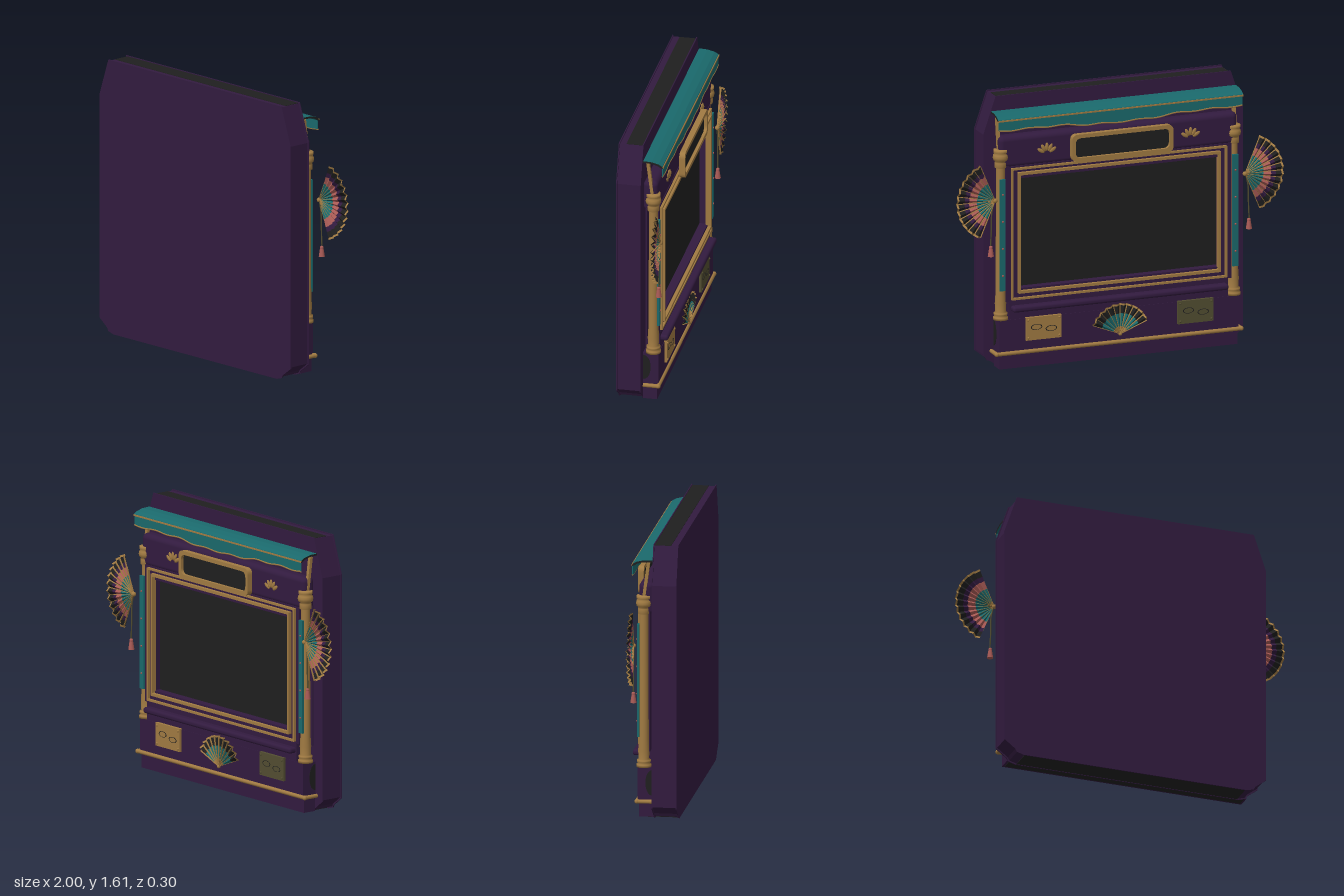
import * as THREE from 'three';
import { RoundedBoxGeometry } from 'three/addons/geometries/RoundedBoxGeometry.js';

const mat = (name, color, side = THREE.FrontSide) => {
  const m = new THREE.MeshStandardMaterial({ color, side });
  m.name = name;
  return m;
};

export function createModel() {
  const purple = mat('plum lacquer', 0x321b3f, THREE.DoubleSide);
  const dark = mat('black', 0x1f1f1f, THREE.DoubleSide);
  const gold = mat('old gold', 0xa07a42, THREE.DoubleSide);
  const bronze = mat('dull bronze', 0x524d31);
  const teal = mat('teal', 0x1a696c, THREE.DoubleSide);
  const pink = mat('coral pink', 0xa85a55, THREE.DoubleSide);

  const model = new THREE.Group();
  model.name = 'ornateCabinet';
  // The decorated side faces -z, so it is built facing +z in a turned group
  const face = new THREE.Group();
  face.name = 'decoratedFace';
  face.rotation.y = Math.PI;
  model.add(face);

  const add = (parent, name, geo, m, x = 0, y = 0, z = 0) => {
    const mesh = new THREE.Mesh(geo, m);
    mesh.name = name;
    mesh.position.set(x, y, z);
    parent.add(mesh);
    return mesh;
  };
  // Box given by its limits
  const box = (parent, name, m, x0, x1, y0, y1, z0, z1) =>
    add(parent, name, new THREE.BoxGeometry(x1 - x0, y1 - y0, z1 - z0), m, (x0 + x1) / 2, (y0 + y1) / 2, (z0 + z1) / 2);
  const poly = pts => new THREE.Shape(pts.map(p => new THREE.Vector2(...p)));
  const extrude = (shape, depth) => new THREE.ExtrudeGeometry(shape, { depth, bevelEnabled: false, curveSegments: 10 });
  const roundRect = (w, h, r, C = THREE.Shape) => {
    const s = new C(), x = w / 2, y = h / 2;
    s.moveTo(-x + r, -y).lineTo(x - r, -y).quadraticCurveTo(x, -y, x, -y + r);
    s.lineTo(x, y - r).quadraticCurveTo(x, y, x - r, y).lineTo(-x + r, y);
    s.quadraticCurveTo(-x, y, -x, y - r).lineTo(-x, -y + r).quadraticCurveTo(-x, -y, -x + r, -y);
    return s;
  };
  const frame = (w, h, t, r, depth) => {
    const s = roundRect(w, h, r);
    s.holes.push(roundRect(w - 2 * t, h - 2 * t, r, THREE.Path));
    return extrude(s, depth);
  };

  // Large slab: two sheets around a slightly smaller core
  const half = [[0.68, 0], [0.72, 0.012], [0.73, 0.03], [0.795, 0.08], [0.795, 1.39], [0.72, 1.61]];
  const outline = k => poly([...half, ...half.map(([x, y]) => [-x, y]).reverse()]
    .map(([x, y]) => [x * k, 0.805 + (y - 0.805) * k]));
  add(model, 'slabFrontSheet', extrude(outline(1), 0.006), purple, 0, 0, 0.142);
  add(model, 'slabBackSheet', extrude(outline(1), 0.006), purple, 0, 0, 0.004);
  add(model, 'slabCore', extrude(outline(0.992), 0.132), purple, 0, 0, 0.01);
  box(model, 'slabTopStrip', dark, -0.71, 0.71, 1.6, 1.606, 0.01, 0.105);
  box(model, 'slabBottomStrip', dark, -0.67, 0.67, 0.002, 0.01, 0.01, 0.142);

  // Plinth and rounded upper panel
  box(face, 'plinthFoot', purple, -0.728, 0.728, 0.015, 0.1, -0.005, 0.077);
  box(face, 'plinthUnderside', dark, -0.715, 0.715, 0.011, 0.016, -0.005, 0.06);
  box(face, 'plinthBody', purple, -0.732, 0.732, 0.1, 0.305, -0.005, 0.085);
  box(face, 'plinthTop', purple, -0.67, 0.67, 0.3, 0.415, -0.005, 0.082);
  add(face, 'sill', new RoundedBoxGeometry(1.32, 0.035, 0.1, 3, 0.015), purple, 0, 0.37, 0.075);
  add(face, 'upperPanel', new RoundedBoxGeometry(1.46, 0.19, 0.085, 4, 0.03), purple, 0, 1.292, 0.037);
  box(face, 'backPanel', purple, -0.735, 0.735, 0.4, 1.22, 0.012, 0.02);

  // Gold rail wrapping the plinth
  const railPts = [[-0.748, 0], [-0.748, 0.087], [0.748, 0.087], [0.748, 0]].map(([x, z]) => new THREE.Vector3(x, 0.108, z));
  for (let i = 0; i < 3; i++)
    add(face, 'plinthRail', new THREE.TubeGeometry(new THREE.LineCurve3(railPts[i], railPts[i + 1]), 1, 0.012, 10), gold);
  for (const i of [1, 2]) add(face, 'railCorner', new THREE.SphereGeometry(0.014, 12, 8), gold, ...railPts[i].toArray());

  // Deep screen, plum sleeve and two gold frames
  box(face, 'screen', dark, -0.62, 0.62, 0.45, 1.17, 0.018, 0.031);
  add(face, 'screenSurround', frame(1.38, 0.8, 0.075, 0.002, 0.062), purple, 0, 0.81, 0.018);
  add(face, 'screenInnerFrame', frame(1.24, 0.715, 0.016, 0.004, 0.03), gold, 0, 0.815, 0.07);
  add(face, 'screenOuterFrame', frame(1.32, 0.78, 0.012, 0.004, 0.022), gold, 0, 0.81, 0.072);

  // Sign plate above the screen
  add(face, 'signFrame', frame(0.62, 0.16, 0.022, 0.035, 0.033), gold, 0, 1.295, 0.114);
  add(face, 'signPanel', extrude(roundRect(0.6, 0.14, 0.03), 0.012), dark, 0, 1.295, 0.117);

  // Curved roof with a hanging valance
  const roofLine = [[0, 1.525], [0.05, 1.523], [0.09, 1.513], [0.112, 1.5], [0.116, 1.488],
    [0.104, 1.49], [0.085, 1.502], [0.05, 1.512], [0, 1.514]];
  const roof = add(face, 'roof', extrude(poly(roofLine.map(([z, y]) => [-z, y])), 1.5), [dark, teal], -0.75, 0, 0);
  roof.rotation.y = Math.PI / 2;
  const hem = x => 1.434 - 0.018 * Math.exp(-((x / 0.3) ** 4)) - 0.004 * Math.cos(x * 28);
  const hemPts = Array.from({ length: 61 }, (_, i) => [-0.745 + i * 1.49 / 60, hem(-0.745 + i * 1.49 / 60)]);
  add(face, 'valance', extrude(poly([[0.745, 1.497], [-0.745, 1.497], ...hemPts]), 0.006), teal, 0, 0, 0.108);
  const hemCurve = new THREE.CatmullRomCurve3(hemPts.map(([x, y]) => new THREE.Vector3(x, y, 0.112)));
  add(face, 'valanceTrim', new THREE.TubeGeometry(hemCurve, 90, 0.005, 6), gold);
  box(face, 'roofTrim', gold, -0.75, 0.75, 1.488, 1.497, 0.112, 0.118);

  // Pleated fan opening towards +y, pivot at its origin
  const fan = (name, R, spread, pleats, bands) => {
    const g = new THREE.Group();
    g.name = name;
    const n = pleats * 2;
    const at = (i, r) => {
      const a = -spread + 2 * spread * i / n;
      return [r * Math.sin(a), r * Math.cos(a), (i % 2 ? 1 : -1) * 0.011 * r / R];
    };
    for (const [r0, r1, m, label] of bands) {
      const pos = [];
      for (let i = 0; i < n; i++) {
        const [a, b, c, d] = [at(i, r0 * R), at(i + 1, r0 * R), at(i + 1, r1 * R), at(i, r1 * R)];
        pos.push(...a, ...c, ...b, ...a, ...d, ...c);
      }
      const geo = new THREE.BufferGeometry();
      geo.setAttribute('position', new THREE.Float32BufferAttribute(pos, 3));
      geo.computeVertexNormals();
      add(g, label, geo, m);
    }
    for (let i = 0; i <= n; i += 2) {
      const a = -spread + 2 * spread * i / n;
      const rib = add(g, 'fanRib', new THREE.BoxGeometry(0.002, R * 0.97, 0.01), gold, Math.sin(a) * R * 0.485, Math.cos(a) * R * 0.485, 0);
      rib.rotation.z = -a;
    }
    add(g, 'fanPivot', new THREE.SphereGeometry(R * 0.06, 12, 8), gold);
    return g;
  };
  const centreFan = fan('centreFan', 0.18, 1.2, 10, [[0.1, 0.25, gold, 'fanHeart'], [0.25, 0.68, teal, 'fanInner'],
    [0.68, 0.94, dark, 'fanOuter'], [0.94, 1, gold, 'fanRim']]);
  centreFan.position.set(0, 0.158, 0.105);
  face.add(centreFan);

  const columnProfile = [[0, 0.305], [0.043, 0.305], [0.043, 0.32], [0.034, 0.325], [0.04, 0.335], [0.04, 0.345], [0.03, 0.352],
    [0.033, 0.4], [0.029, 0.46], [0.027, 0.8], [0.026, 1.2], [0.035, 1.205], [0.035, 1.235], [0.03, 1.24],
    [0.042, 1.25], [0.045, 1.265], [0.042, 1.28], [0.035, 1.288], [0.041, 1.293], [0.041, 1.31], [0, 1.314]];

  for (const s of [-1, 1]) {
    // Columns with teal inlay, beads and roof struts
    add(face, 'column', new THREE.LatheGeometry(columnProfile.map(p => new THREE.Vector2(...p)), 20), gold, s * 0.712, 0, 0.052);
    box(face, 'columnInlay', teal, s * 0.712 - 0.017, s * 0.712 + 0.017, 0.48, 1.14, 0.076, 0.09);
    for (let i = 0; i < 4; i++) add(face, 'inlayBead', new THREE.SphereGeometry(0.006, 8, 6), pink, s * 0.712, 0.57 + i * 0.16, 0.09);
    const strut = add(face, 'roofStrut', new THREE.BoxGeometry(0.02, 0.2, 0.018), gold, s * 0.722, 1.405, 0.036);
    strut.rotation.x = -0.13;

    // Dark rounded recess on each plinth end, half hidden by the slab
    const recess = add(face, 'plinthEndRecess', new THREE.CylinderGeometry(0.04, 0.04, 0.004, 20), dark, s * 0.732, 0.215, 0);
    recess.rotation.z = Math.PI / 2;
    recess.scale.x = 1.9;

    // Small gold fan ornaments beside the sign
    for (let i = -2; i <= 2; i++) {
      const a = i * 0.5;
      const blade = add(face, 'crestBlade', new THREE.SphereGeometry(1, 10, 6), gold,
        s * 0.44 + Math.sin(a) * 0.043, 1.262 + Math.cos(a) * 0.043, 0.082);
      blade.scale.set(0.011, 0.025, 0.006);
      blade.rotation.z = -a;
    }

    // Plaques with two leaf-shaped outlines
    const metal = s < 0 ? gold : bronze;
    box(face, 'plaque', metal, s * 0.465 - 0.108, s * 0.465 + 0.108, 0.175, 0.31, 0.08, 0.1);
    for (const [dx, dy] of [[-0.045, 0.008], [0.045, -0.008]]) {
      const leaf = add(face, 'plaqueOutline', new THREE.TorusGeometry(0.032, 0.003, 5, 18), dark, s * 0.465 + dx, 0.243 + dy, 0.1);
      leaf.scale.set(1, 0.5, 0.5);
    }
    for (const dx of [-0.095, 0.095]) for (const y of [0.19, 0.295])
      add(face, 'plaqueStud', new THREE.SphereGeometry(0.007, 8, 6), metal, s * 0.465 + dx, y, 0.1);

    // Side fans with hanging tassels
    const side = fan('sideFan', 0.235, 1.17, 12, [[0.08, 0.48, teal, 'fanInner'], [0.48, 0.68, pink, 'fanMiddle'],
      [0.68, 0.8, purple, 'fanOuter'], [0.8, 0.95, dark, 'fanEdge'], [0.95, 1, gold, 'fanRim']]);
    side.position.set(s * 0.765, 1.025, 0.103);
    side.rotation.z = -s * Math.PI / 2;
    face.add(side);
    const cord = new THREE.CatmullRomCurve3([[0.77, 1.02], [0.785, 0.95], [0.787, 0.85], [0.792, 0.755]]
      .map(([x, y]) => new THREE.Vector3(s * x, y, 0.1)));
    add(face, 'tasselCord', new THREE.TubeGeometry(cord, 12, 0.004, 6), bronze);
    add(face, 'tassel', new THREE.CylinderGeometry(0.01, 0.018, 0.05, 10), pink, s * 0.79, 0.722, 0.1);
    add(face, 'tasselKnot', new THREE.SphereGeometry(0.011, 10, 8), pink, s * 0.79, 0.75, 0.1);
  }
  return model;
}
